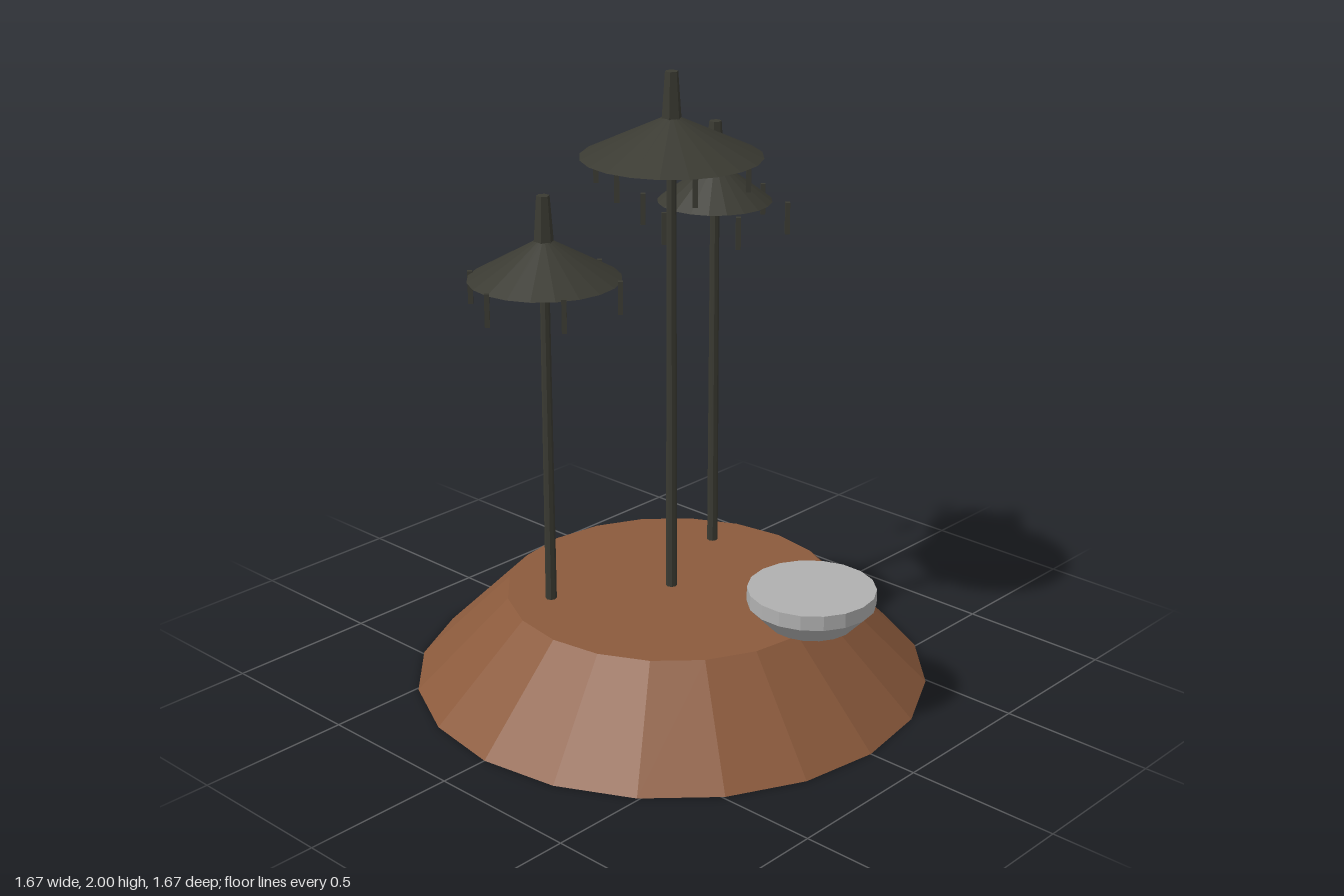
import * as THREE from 'three';

const mat = (name, color) => {
  const m = new THREE.MeshStandardMaterial({ color, flatShading: true });
  m.name = name;
  return m;
};

export function createModel() {
  const earth = mat('earthBrown', 0x8b5a3c);
  const iron = mat('darkIron', 0x3a3a32);
  const stone = mat('paleGrey', 0xb0b0b0);
  const model = new THREE.Group();
  model.name = 'canopyPolesOnMound';

  const add = (parent, name, geometry, material, x, y, z) => {
    const mesh = new THREE.Mesh(geometry, material);
    mesh.name = name;
    mesh.position.set(x, y, z);
    parent.add(mesh);
    return mesh;
  };

  // Tapered cylinder standing between two heights
  const column = (parent, name, rTop, rBottom, y0, y1, sides, material, x = 0, z = 0) =>
    add(parent, name, new THREE.CylinderGeometry(rTop, rBottom, y1 - y0, sides), material, x, (y0 + y1) / 2, z);

  const groundY = 0.3;
  column(model, 'mound', 0.537, 0.837, 0, groundY, 20, earth);

  // Pole with a conical canopy, a finial and a ring of six hanging rods
  const canopyPole = (name, x, z, eaveY, radius) => {
    const g = new THREE.Group();
    g.name = name;
    g.position.set(x, 0, z);
    column(g, 'pole', 0.015, 0.018, groundY, eaveY + 0.02, 8, iron);
    column(g, 'canopy', 0.028, radius, eaveY, eaveY + 0.12, 20, iron);
    column(g, 'finial', 0.021, 0.032, eaveY + 0.11, eaveY + 0.262, 6, iron);
    for (let i = 0; i < 6; i++) {
      const a = (i * Math.PI) / 3;
      column(g, 'hangingRod', 0.011, 0.011, eaveY - 0.097, eaveY + 0.008, 4, iron,
        0.239 * Math.cos(a), 0.239 * Math.sin(a));
    }
    model.add(g);
  };
  canopyPole('centrePole', 0, 0, 1.738, 0.283);
  canopyPole('rightPole', -0.335, -0.218, 1.379, 0.239);
  canopyPole('leftPole', 0.36, -0.145, 1.499, 0.187);

  // Shallow basin: straight rim over a faceted bowl, closed flat on top
  const basin = new THREE.Group();
  basin.name = 'basin';
  basin.position.set(0.06, 0, 0.54);
  column(basin, 'rim', 0.202, 0.202, 0.397, 0.445, 18, stone);
  const profile = [[0, 0.305], [0.138, 0.33], [0.202, 0.397]].map(p => new THREE.Vector2(...p));
  add(basin, 'bowl', new THREE.LatheGeometry(profile, 18), stone, 0, 0, 0);
  model.add(basin);

  return model;
}
